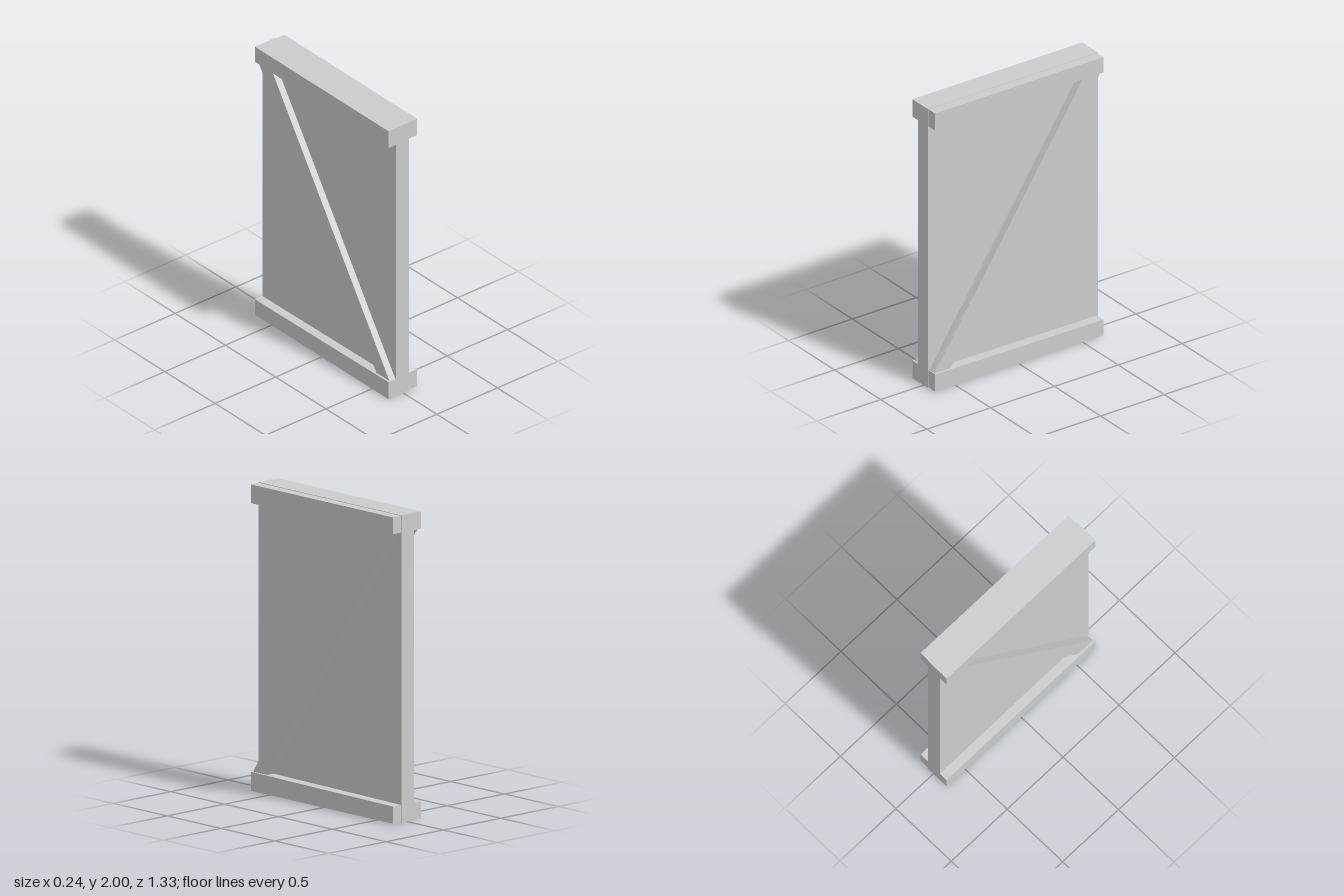
import * as THREE from 'three';

const material = new THREE.MeshStandardMaterial({ color: 0xcccccc, flatShading: true });

// Side outline given as [z, y] points, extruded across x from x0 to x1
function slab(name, points, x0, x1) {
  const shape = new THREE.Shape(points.map(([z, y]) => new THREE.Vector2(z, y)));
  const geometry = new THREE.ExtrudeGeometry(shape, { depth: x1 - x0, bevelEnabled: false });
  geometry.rotateY(-Math.PI / 2).translate(x1, 0, 0);
  const mesh = new THREE.Mesh(geometry, material);
  mesh.name = name;
  return mesh;
}

export function createModel() {
  const group = new THREE.Group();
  group.name = 'bracedWallPanel';
  const zEnd = 0.665;
  const xLeft = 0.05, xRight = -0.058; // faces of the central panel

  // Central panel, full height
  group.add(slab('panel', [[-zEnd, 0], [zEnd, 0], [zEnd, 2], [-zEnd, 2]], xRight, xLeft));

  const sides = [
    { side: 'left', inner: xLeft, rail: 0.12, brace: 0.105, end: 0.66, inset: 0.003 },
    { side: 'right', inner: xRight, rail: -0.12, brace: -0.105, end: zEnd, inset: 0 },
  ];
  for (const { side, inner, rail, brace, end, inset } of sides) {
    const part = (name, points, outer) =>
      group.add(slab(side + name, points, Math.min(inner, outer), Math.max(inner, outer)));

    // Rails, slightly thinner towards the back
    part('BottomRail', [[-end, inset], [end, inset], [end, 0.127], [-end, 0.115]], rail);
    part('TopRail', [[-end, 1.888], [end, 1.875], [end, 2 - inset], [-end, 2 - inset]], rail);

    // Diagonal brace, low at the front and high at the back
    part('Brace', [[0.53, 0.12], [0.66, 0.12], [-0.515, 1.89], [-0.65, 1.89]], brace);
  }
  return group;
}
